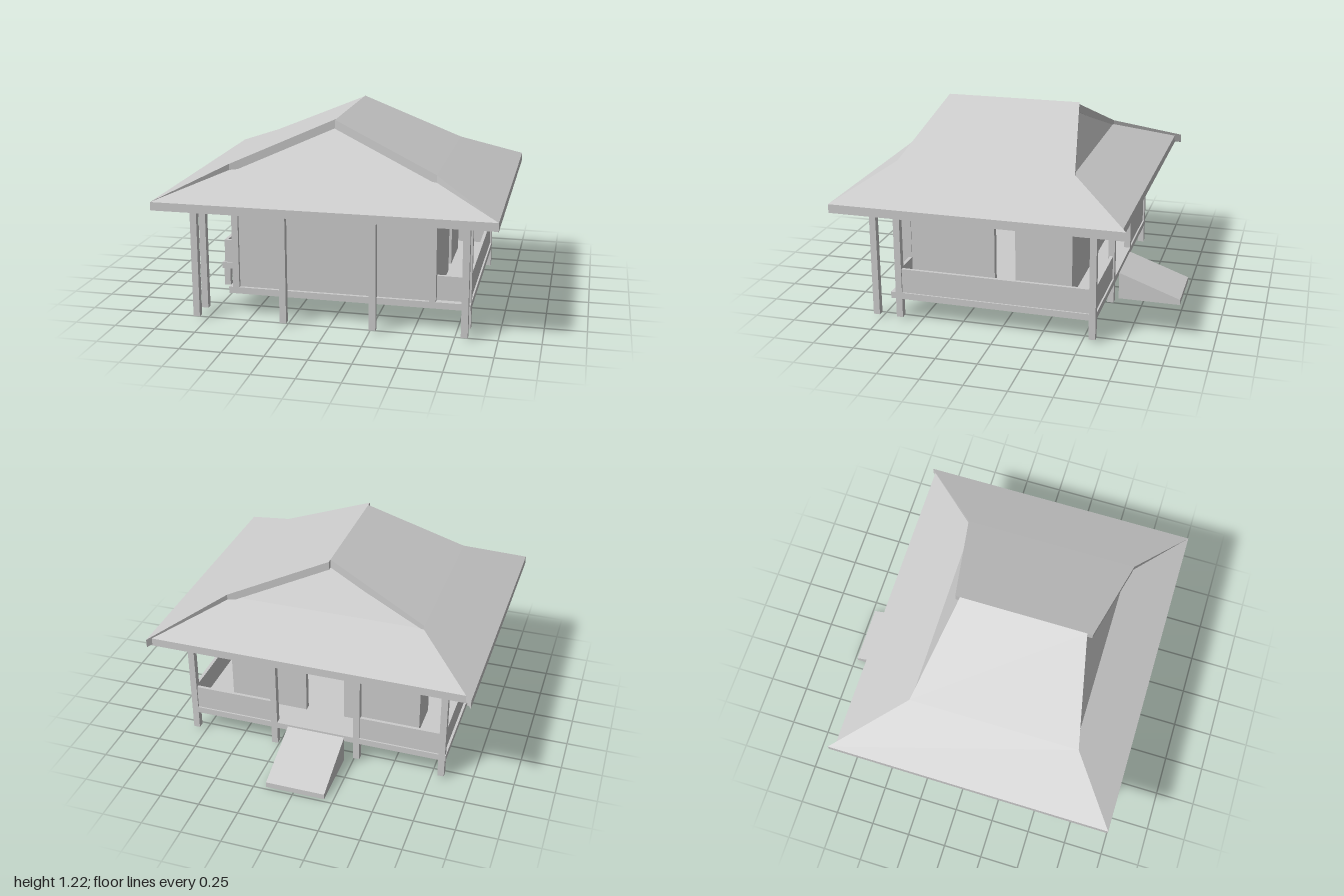
import * as THREE from 'three';

const mat = new THREE.MeshStandardMaterial({ color: 0xcccccc, flatShading: true, side: THREE.DoubleSide });

function add(parent, name, geometry) {
  const mesh = new THREE.Mesh(geometry, mat);
  mesh.name = name;
  parent.add(mesh);
  return mesh;
}

// Box given by its limits on each axis
function block(parent, name, x0, x1, y0, y1, z0, z1) {
  const mesh = add(parent, name, new THREE.BoxGeometry(x1 - x0, y1 - y0, z1 - z0));
  mesh.position.set((x0 + x1) / 2, (y0 + y1) / 2, (z0 + z1) / 2);
  return mesh;
}

// Bent roof sheet: rows of [start, end] edge points, thickened downwards
function sheet(rows, thickness) {
  const pos = [];
  const low = (p) => [p[0], p[1] - thickness, p[2]];
  const quad = (a, b, c, d) => pos.push(...a, ...b, ...c, ...a, ...c, ...d);
  for (let i = 0; i < rows.length - 1; i++) {
    const [a, b] = rows[i], [d, c] = rows[i + 1];
    quad(a, b, c, d);
    quad(low(a), low(d), low(c), low(b));
    quad(a, d, low(d), low(a));
    quad(b, low(b), low(c), c);
  }
  const [a, b] = rows[0], [d, c] = rows[rows.length - 1];
  quad(a, low(a), low(b), b);
  quad(d, c, low(c), low(d));
  const g = new THREE.BufferGeometry();
  g.setAttribute('position', new THREE.Float32BufferAttribute(pos, 3));
  g.computeVertexNormals();
  return g;
}

export function createModel() {
  const model = new THREE.Group();
  model.name = 'house';
  const columns = [-0.81, -0.27, 0.27, 0.81];

  // Floor with a notch in the front right corner
  const outline = [[-0.835, -0.58], [0.83, -0.58], [0.83, 0.68], [-0.64, 0.68], [-0.64, 0.24], [-0.835, 0.24]];
  const floor = new THREE.ExtrudeGeometry(
    new THREE.Shape(outline.map(([x, z]) => new THREE.Vector2(x, z))),
    { depth: 0.04, bevelEnabled: false });
  floor.rotateX(Math.PI / 2);
  add(model, 'floor', floor).position.y = 0.18;

  // Posts
  const posts = new THREE.Group();
  posts.name = 'posts';
  model.add(posts);
  const post = (name, x, z, top) => block(posts, name, x - 0.02, x + 0.02, 0.02, top, z - 0.02, z + 0.02);
  for (const x of columns) {
    post('frontPost', x, 0.78, 0.79);
    post('backPost', x, -0.56, 0.78);
  }
  for (const x of [-0.81, 0.81]) post('sidePost', x, 0.63, 0.8);
  post('floorLeg', -0.81, 0.2, 0.18);

  // Railings
  const rails = new THREE.Group();
  rails.name = 'railings';
  model.add(rails);
  const railX = (x0, x1, z) => block(rails, 'railing', x0, x1, 0.18, 0.33, z - 0.01, z + 0.01);
  const railZ = (x, z0, z1) => block(rails, 'railing', x - 0.01, x + 0.01, 0.18, 0.33, z0, z1);
  railX(-0.8, -0.28, -0.56);
  railX(0.28, 0.8, -0.56);
  railX(0.62, 0.8, 0.63);
  railX(-0.82, -0.62, 0.22);
  railZ(0.81, -0.55, 0.62);
  railZ(-0.81, -0.55, 0.22);

  // Walls, with a doorway in the back and in each side
  const walls = new THREE.Group();
  walls.name = 'walls';
  model.add(walls);
  const top = 0.87, doorTop = 0.63;
  block(walls, 'frontWall', -0.6, 0.6, 0.18, top, 0.63, 0.66);
  block(walls, 'backWall', -0.62, -0.13, 0.18, top, -0.39, -0.35);
  block(walls, 'backWall', 0.12, 0.62, 0.18, top, -0.39, -0.35);
  block(walls, 'backLintel', -0.13, 0.12, doorTop, top, -0.39, -0.35);
  for (const [x, z0, z1] of [[0.6, -0.04, 0.09], [-0.6, -0.16, 0]]) {
    block(walls, 'sideWall', x - 0.02, x + 0.02, 0.18, top, -0.39, z0);
    block(walls, 'sideWall', x - 0.02, x + 0.02, 0.18, top, z1, 0.65);
    block(walls, 'sideLintel', x - 0.02, x + 0.02, doorTop, top, z0, z1);
    block(walls, 'cornerPost', x - 0.015, x + 0.025, 0.18, 0.85, 0.62, 0.68);
  }

  // Ramp up to the back doorway
  const side = new THREE.Shape();
  side.moveTo(0.59, 0);
  side.lineTo(0.98, 0);
  side.lineTo(0.98, 0.035);
  side.lineTo(0.59, 0.175);
  side.closePath();
  const ramp = new THREE.ExtrudeGeometry(side, { depth: 0.37, bevelEnabled: false });
  ramp.rotateY(Math.PI / 2);
  add(model, 'ramp', ramp).position.x = -0.195;

  // Roof: two bent side sheets overlapping the front and back sheets
  const roof = new THREE.Group();
  roof.name = 'roof';
  model.add(roof);
  add(roof, 'leftRoof', sheet([
    [[1, 0.77, 0.975], [1, 0.77, -0.775]],
    [[0.62, 0.945, 0.69], [0.62, 0.945, -0.4]],
    [[0, 1.215, 0.57], [0, 1.215, -0.28]],
  ], 0.053));
  add(roof, 'rightRoof', sheet([
    [[-1, 0.77, -0.79], [-1, 0.77, 0.975]],
    [[-0.62, 0.945, -0.38], [-0.62, 0.945, 0.675]],
    [[0, 1.215, -0.25], [0, 1.215, 0.535]],
  ], 0.053));
  add(roof, 'frontRoof', sheet([
    [[-1, 0.77, 0.975], [1, 0.77, 0.975]],
    [[-0.64, 0.92, 0.65], [0.64, 0.92, 0.65]],
    [[0, 1.17, 0.525], [0, 1.17, 0.525]],
  ], 0.05));
  add(roof, 'backRoof', sheet([
    [[1, 0.77, -0.75], [-1, 0.77, -0.75]],
    [[0.64, 0.92, -0.375], [-0.64, 0.92, -0.375]],
    [[0, 1.17, -0.24], [0, 1.17, -0.24]],
  ], 0.05));

  return model;
}
